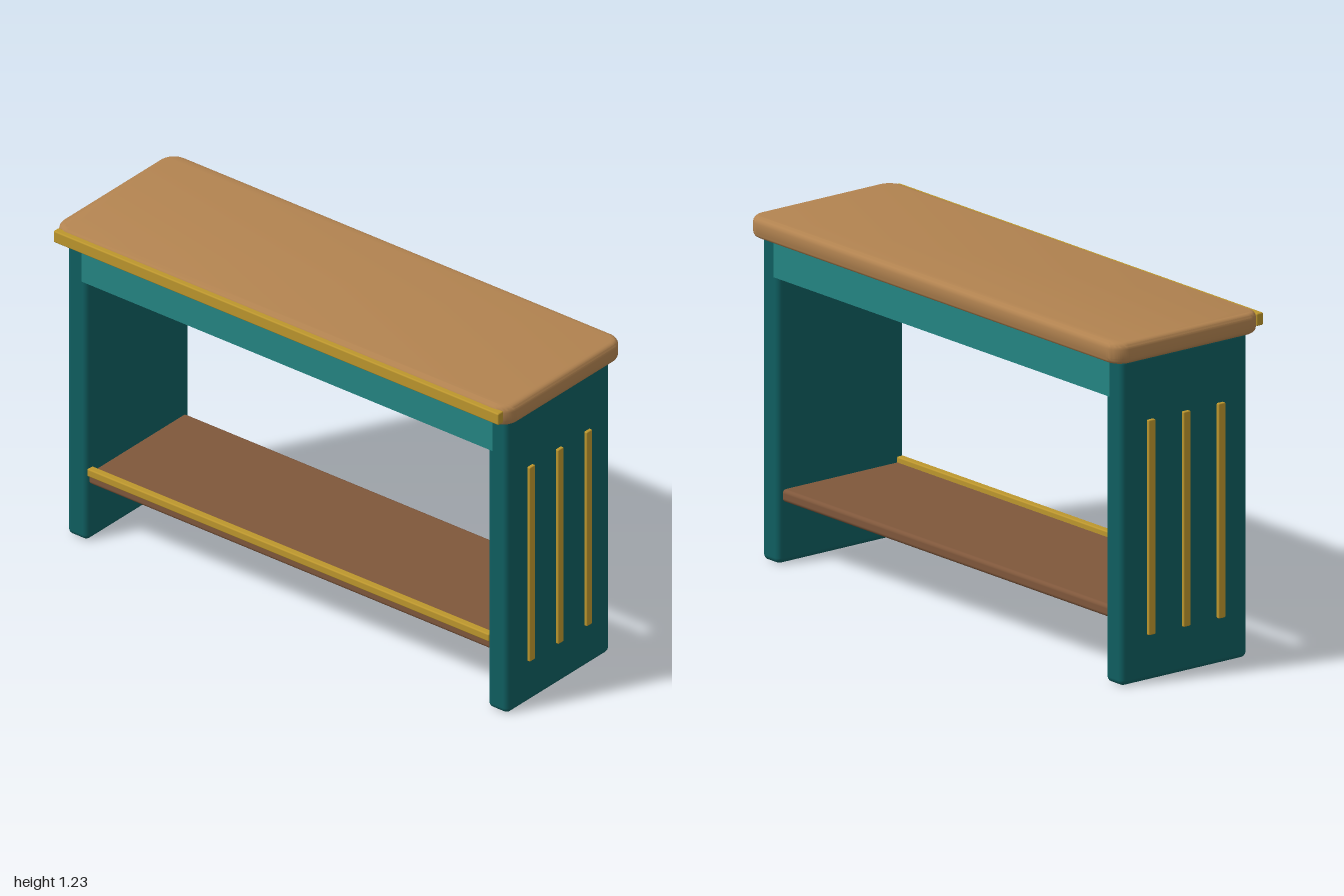
import * as THREE from 'three';
import { RoundedBoxGeometry } from 'three/addons/geometries/RoundedBoxGeometry.js';
import { toCreasedNormals } from 'three/addons/utils/BufferGeometryUtils.js';

const material = (name, color) => {
  const m = new THREE.MeshStandardMaterial({ color });
  m.name = name;
  return m;
};

export function createModel() {
  const group = new THREE.Group();
  const oak = material('oak', 0xb28350);
  const walnut = material('walnut', 0x7f573b);
  const darkTeal = material('dark teal', 0x0f5e60);
  const teal = material('teal', 0x248582);
  const gold = material('gold', 0xbc962d);

  // Box given by its limits on each axis, with softened edges
  function box(name, mat, [x0, x1], [y0, y1], [z0, z1], radius) {
    const size = [x1 - x0, y1 - y0, z1 - z0];
    const geometry = radius
      ? new RoundedBoxGeometry(...size, 3, radius)
      : new THREE.BoxGeometry(...size);
    const mesh = new THREE.Mesh(geometry, mat);
    mesh.name = name;
    mesh.position.set((x0 + x1) / 2, (y0 + y1) / 2, (z0 + z1) / 2);
    group.add(mesh);
    return mesh;
  }

  // Table top: rounded rectangle with rounded upper and lower edges
  const bevel = 0.022, hx = 1 - bevel, hz = 0.3225 - bevel, r = 0.04;
  const outline = new THREE.Shape();
  outline.absarc(hx - r, hz - r, r, 0, Math.PI / 2);
  outline.absarc(-hx + r, hz - r, r, Math.PI / 2, Math.PI);
  outline.absarc(-hx + r, -hz + r, r, Math.PI, Math.PI * 1.5);
  outline.absarc(hx - r, -hz + r, r, Math.PI * 1.5, Math.PI * 2);
  outline.closePath();
  const topGeometry = new THREE.ExtrudeGeometry(outline, {
    depth: 0.076 - 2 * bevel, bevelSize: bevel, bevelThickness: bevel,
    bevelSegments: 4, curveSegments: 6,
  });
  topGeometry.rotateX(-Math.PI / 2);
  const top = new THREE.Mesh(toCreasedNormals(topGeometry, 0.6), oak);
  top.name = 'tableTop';
  top.position.set(0, 1.155 + bevel, -0.0085);
  group.add(top);
  box('topFrontTrim', gold, [-0.98, 0.98], [1.175, 1.22], [0.302, 0.331], 0.005);

  // Deep apron under the top
  box('apron', teal, [-0.905, 0.905], [1.02, 1.16], [-0.286, 0.271]);

  // Lower shelf with its raised front trim
  box('shelf', walnut, [-0.89, 0.89], [0.22, 0.265], [-0.266, 0.257], 0.014);
  box('shelfFrontTrim', gold, [-0.885, 0.885], [0.255, 0.285], [0.238, 0.266], 0.005);

  // Side panels with three upright slats on each outer face
  for (const side of [1, -1]) {
    const label = side > 0 ? 'left' : 'right';
    const span = (a, b) => (side > 0 ? [a, b] : [-b, -a]);
    box(label + 'Panel', darkTeal, span(0.88, 0.97), [0, 1.165], [-0.285, 0.27], 0.02);
    for (let i = 0; i < 3; i++) {
      const z = -0.16 + i * 0.154;
      box(`${label}Slat${i + 1}`, gold, span(0.955, 0.982), [0.165, 0.932], [z - 0.015, z + 0.015], 0.004);
    }
  }
  return group;
}
